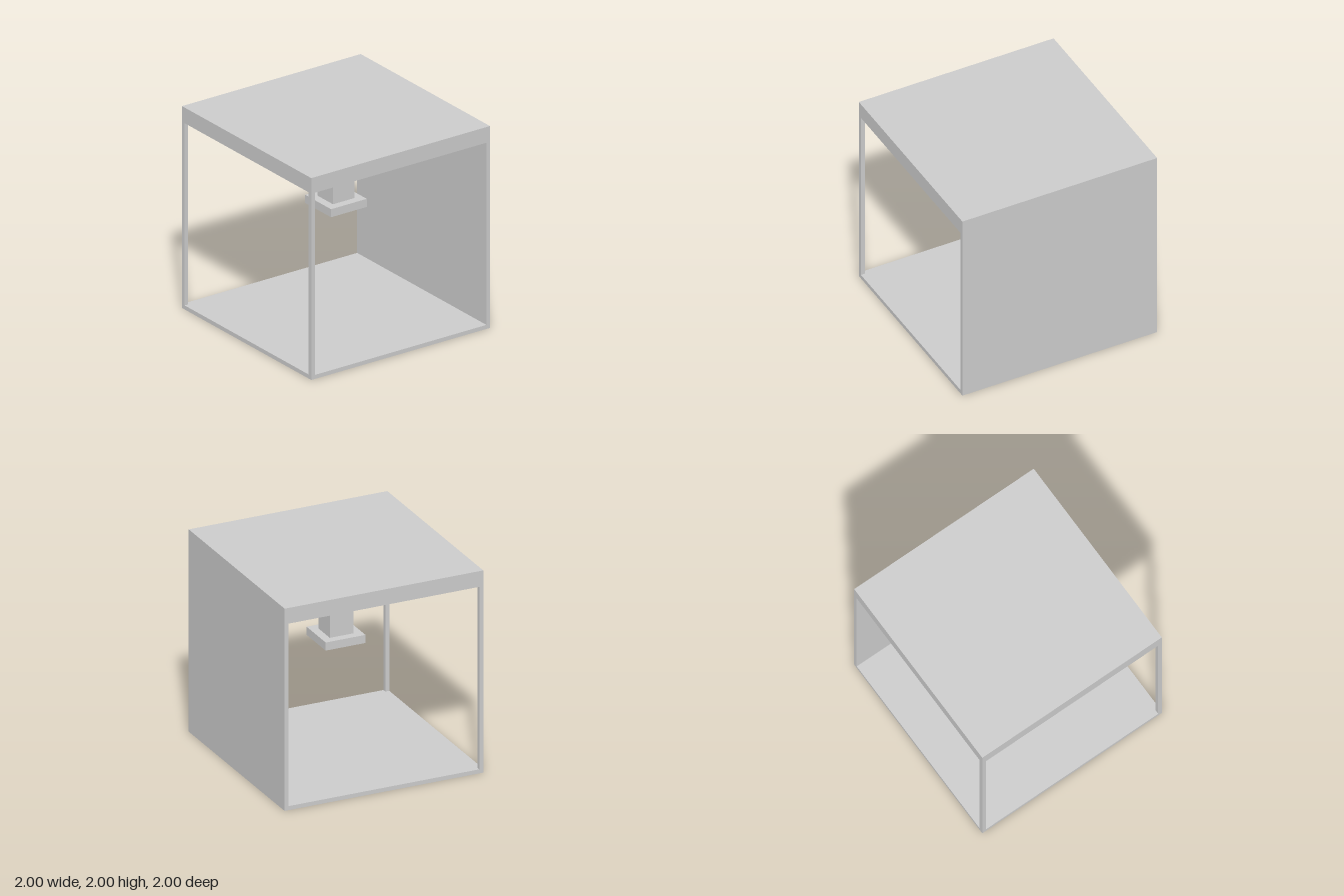
import * as THREE from 'three';

const material = new THREE.MeshStandardMaterial({ color: 0xcccccc, flatShading: true });

// Box given by its size, base height and centre in plan
function box(name, w, h, d, baseY, x = 0, z = 0) {
  const mesh = new THREE.Mesh(new THREE.BoxGeometry(w, h, d), material);
  mesh.name = name;
  mesh.position.set(x, baseY + h / 2, z);
  return mesh;
}

export function createModel() {
  const group = new THREE.Group();
  group.name = 'openFrameCabinet';
  const t = 0.04; // panel and post thickness
  const ceilingY = 1.845;
  const wallHeight = ceilingY - t;

  // Floor, thick roof and solid back wall
  group.add(box('floor', 2, t, 2, 0));
  group.add(box('roof', 2, 2 - ceilingY, 2, ceilingY));
  group.add(box('backWall', 2, wallHeight, t, t, 0, -1 + t / 2));

  // Slim posts at the two front corners
  for (const side of [-1, 1]) {
    group.add(box(side > 0 ? 'leftPost' : 'rightPost', t, wallHeight, t, t, side * (1 - t / 2), 1 - t / 2));
  }

  // Column hanging from the roof with a wider plate at its end
  group.add(box('hangingColumn', 0.24, ceilingY - 1.2, 0.24, 1.2));
  group.add(box('endPlate', 0.4, 0.08, 0.4, 1.12));

  return group;
}
